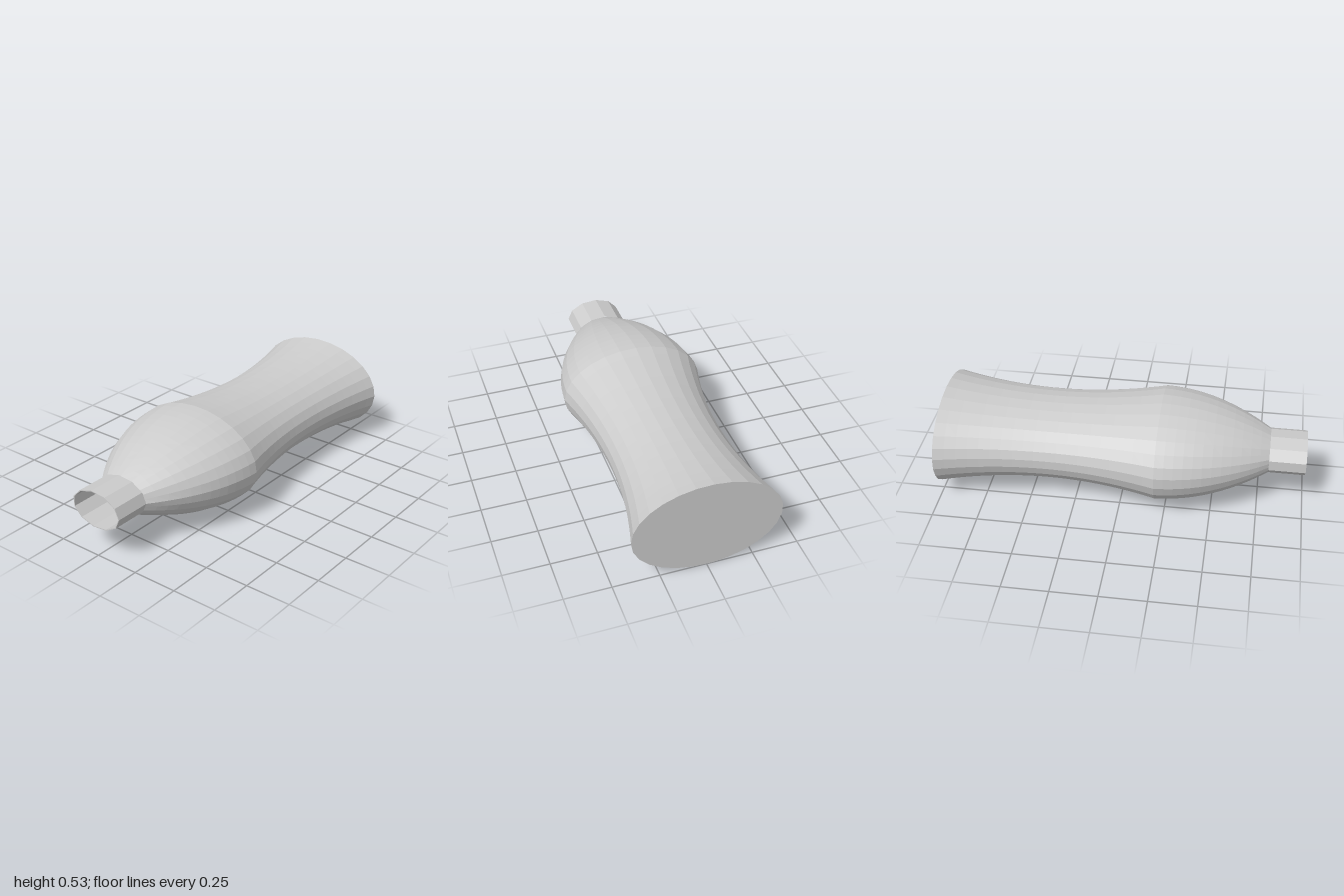
import * as THREE from 'three';

const RX = 0.4, RY = 0.266, CY = 0.267; // largest oval section and its axis height
const NECK = 0.392, WALL = 0.005, BODY_SIDES = 27, NECK_SIDES = 11;

// Skin a run of oval rings { z, s: scale, inset, facet } along z.
function loft(rings, sides) {
  const pos = [], index = [];
  const step = (2 * Math.PI) / NECK_SIDES;
  rings.forEach(({ z, s, inset = 0, facet = 0 }) => {
    for (let j = 0; j <= sides; j++) {
      const a = ((j % sides) / sides) * 2 * Math.PI;
      // facet = 1 pulls the ring onto the neck's polygon
      const polygon = Math.cos(step / 2) / Math.cos((a % step) - step / 2);
      const k = 1 + (polygon - 1) * facet;
      pos.push(Math.max(RX * s - inset, 0) * k * Math.cos(a),
        CY + Math.max(RY * s - inset, 0) * k * Math.sin(a), z);
    }
  });
  const w = sides + 1;
  for (let i = 0; i < rings.length - 1; i++) {
    for (let j = 0; j < sides; j++) {
      const a = i * w + j, b = a + 1, c = a + w, d = c + 1;
      index.push(a, b, d, a, d, c);
    }
  }
  const g = new THREE.BufferGeometry();
  g.setAttribute('position', new THREE.Float32BufferAttribute(pos, 3));
  g.setIndex(index);
  g.computeVertexNormals();
  return g;
}

// Waisted grip from z = -1 to 0.2, then a rounded shoulder up to the neck.
function bodyRings(inset) {
  const rings = [];
  for (let i = 0; i <= 20; i++) {
    const t = -1 + i / 10;
    rings.push({ z: -0.4 + 0.6 * t, s: 0.795 + 0.205 * t * t, inset });
  }
  for (let i = 1; i <= 12; i++) {
    const u = i / 12;
    rings.push({ z: 0.2 + 0.6 * u, s: 1 - 0.04 * u - (0.96 - NECK) * u * u, inset, facet: u ** 4 });
  }
  return rings;
}

export function createModel() {
  const group = new THREE.Group();
  const material = new THREE.MeshStandardMaterial({ color: 0xcccccc, flatShading: true });
  const add = (name, rings, sides) => {
    const mesh = new THREE.Mesh(loft(rings, sides), material);
    mesh.name = name;
    group.add(mesh);
  };

  // Bottle body with its flat base
  add('body', [{ z: -1, s: 0 }, ...bodyRings(0)], BODY_SIDES);

  // Hollow inside of the body, facing inwards
  const inner = bodyRings(WALL);
  inner[0].z = -1 + WALL;
  add('bodyInside', [...inner.reverse(), { z: -1 + WALL, s: 0 }], BODY_SIDES);

  // Faceted open neck: outside, lip, inside
  add('neck', [
    { z: 0.8, s: NECK },
    { z: 1, s: NECK },
    { z: 1, s: NECK, inset: WALL },
    { z: 0.8, s: NECK, inset: WALL },
  ], NECK_SIDES);

  return group;
}
